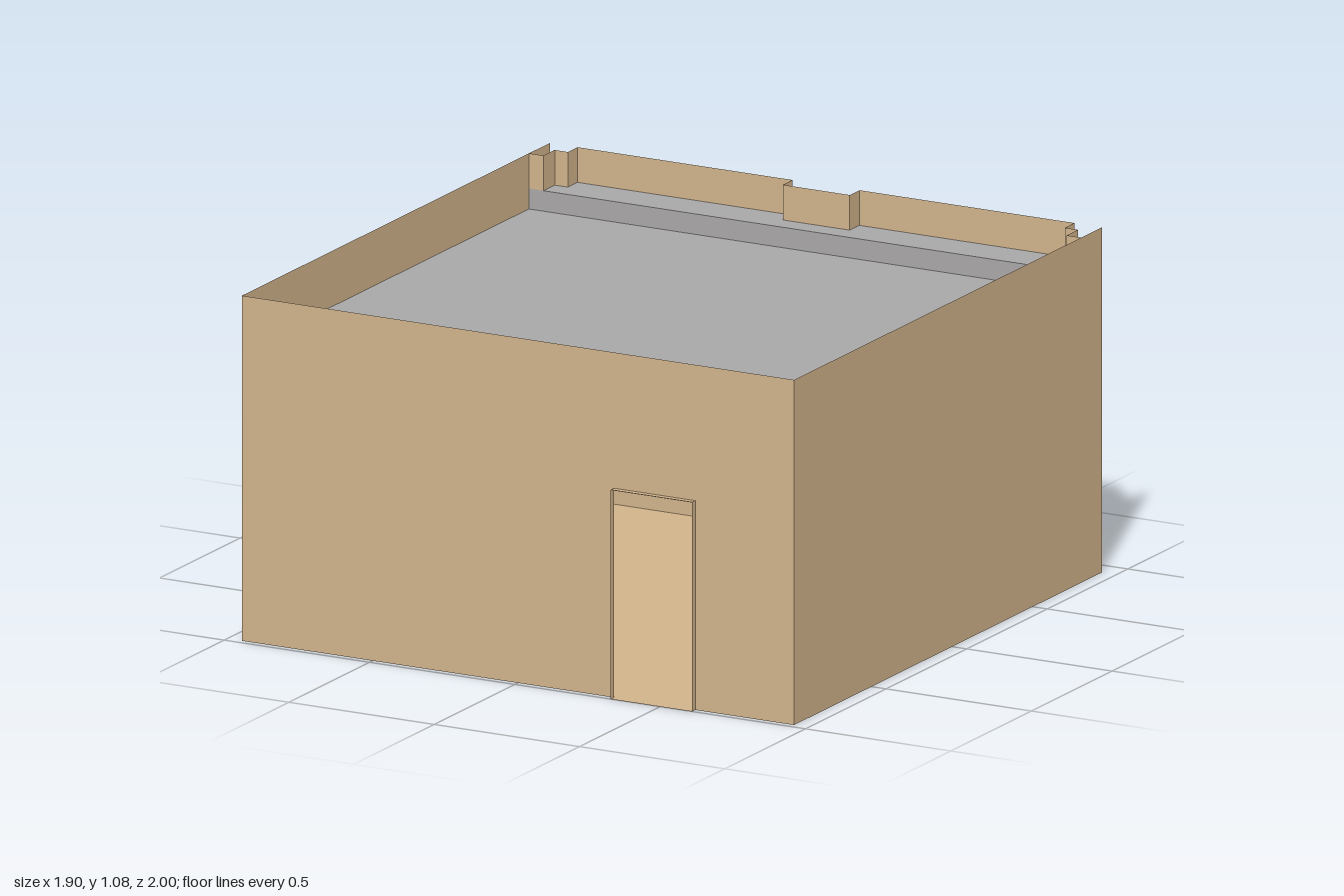
import * as THREE from 'three';

const tan = new THREE.MeshStandardMaterial({ color: 0xd2b48c, side: THREE.DoubleSide });
tan.name = 'tan plaster';
const grey = new THREE.MeshStandardMaterial({ color: 0xaaa8a8, side: THREE.DoubleSide });
grey.name = 'grey roofing';

// Open sheet swept between two matching polylines, flat shaded
function sheet(a, b) {
  const pos = [];
  for (let i = 0; i < a.length - 1; i++) {
    pos.push(...a[i], ...a[i + 1], ...b[i + 1], ...a[i], ...b[i + 1], ...b[i]);
  }
  const g = new THREE.BufferGeometry();
  g.setAttribute('position', new THREE.Float32BufferAttribute(pos, 3));
  g.computeVertexNormals();
  return g;
}

// Upright wall following a plan of [x, z] points
const wall = (plan, y0, y1) =>
  sheet(plan.map(([x, z]) => [x, y0, z]), plan.map(([x, z]) => [x, y1, z]));

// Sheet spanning the width x0..x1 along a profile of [y, z] points
const span = (profile, x0, x1) =>
  sheet(profile.map(([y, z]) => [x0, y, z]), profile.map(([y, z]) => [x1, y, z]));

// Sleeve around an opening, running along z; closed on all sides
const sleeve = (x0, x1, y0, y1, z0, z1) => {
  const loop = [[x0, y0], [x1, y0], [x1, y1], [x0, y1], [x0, y0]];
  return sheet(loop.map(([x, y]) => [x, y, z0]), loop.map(([x, y]) => [x, y, z1]));
};

// Flat upright sheet from an outline of [x, y] points
const panel = (points, z) =>
  new THREE.ShapeGeometry(new THREE.Shape(points.map(([x, y]) => new THREE.Vector2(x, y)))).translate(0, 0, z);

export function createModel() {
  const model = new THREE.Group();
  model.name = 'building';
  const add = (name, geometry, material = tan) => {
    const mesh = new THREE.Mesh(geometry, material);
    mesh.name = name;
    model.add(mesh);
    return mesh;
  };

  const W = 0.95, H = 1.08, front = 0.98, back = -0.93;
  const recess = -0.87, corner = -0.8, sill = 0.41, head = 0.905;

  // Shell
  add('floor', span([[0, back], [0, front]], -W, W));
  add('frontWall', panel([[-W, 0], [0.33, 0], [0.33, 0.655], [0.61, 0.655], [0.61, 0], [W, 0], [W, H], [-W, H]], front));
  add('doorFrame', sleeve(0.33, 0.61, 0, 0.655, front, 1));

  // Roof with a raised strip along the back
  add('roof', span([[0.906, front], [0.906, corner], [0.97, corner], [0.97, back]], -W, W), grey);

  // Back wall between the stepped corners
  add('lowerBackWall', wall([[-0.9, recess], [0.9, recess]], 0, sill));
  add('middleBackWall', wall([[-0.115, recess], [0.115, recess]], sill, H));

  for (const s of [-1, 1]) {
    add('sideWall', wall([[s * W, front], [s * W, back]], 0, H));
    add('steppedCorner', wall([[s * W, corner], [s * 0.9, corner], [s * 0.9, recess]], 0, H));
    add('endBackWall', wall([[s * 0.9, recess], [s * 0.855, recess]], sill, H));

    // Projecting window bay
    add('bayPanel', panel([[0.115, sill], [0.2, sill], [0.2, head], [0.77, head], [0.77, sill],
      [0.855, sill], [0.855, H], [0.115, H]].map(([x, y]) => [s * x, y]), back));
    for (const x of [0.115, 0.855]) {
      add('bayReturn', wall([[s * x, recess], [s * x, back]], sill, H));
    }
    add('baySoffit', span([[sill, recess], [sill, back]], s * 0.115, s * 0.855));
    add('windowFrame', sleeve(s * 0.2, s * 0.77, sill, head, back, -1));
  }

  // Horizontal rails inside the walls
  for (const y of [0.077, 0.31]) {
    add('backRail', new THREE.BoxGeometry(1.89, 0.042, 0.04), grey).position.set(0, y, -0.848);
    for (const s of [-1, 1]) {
      add('sideRail', new THREE.BoxGeometry(0.04, 0.042, 1.79), grey).position.set(s * 0.928, y, 0.07);
    }
  }
  return model;
}
